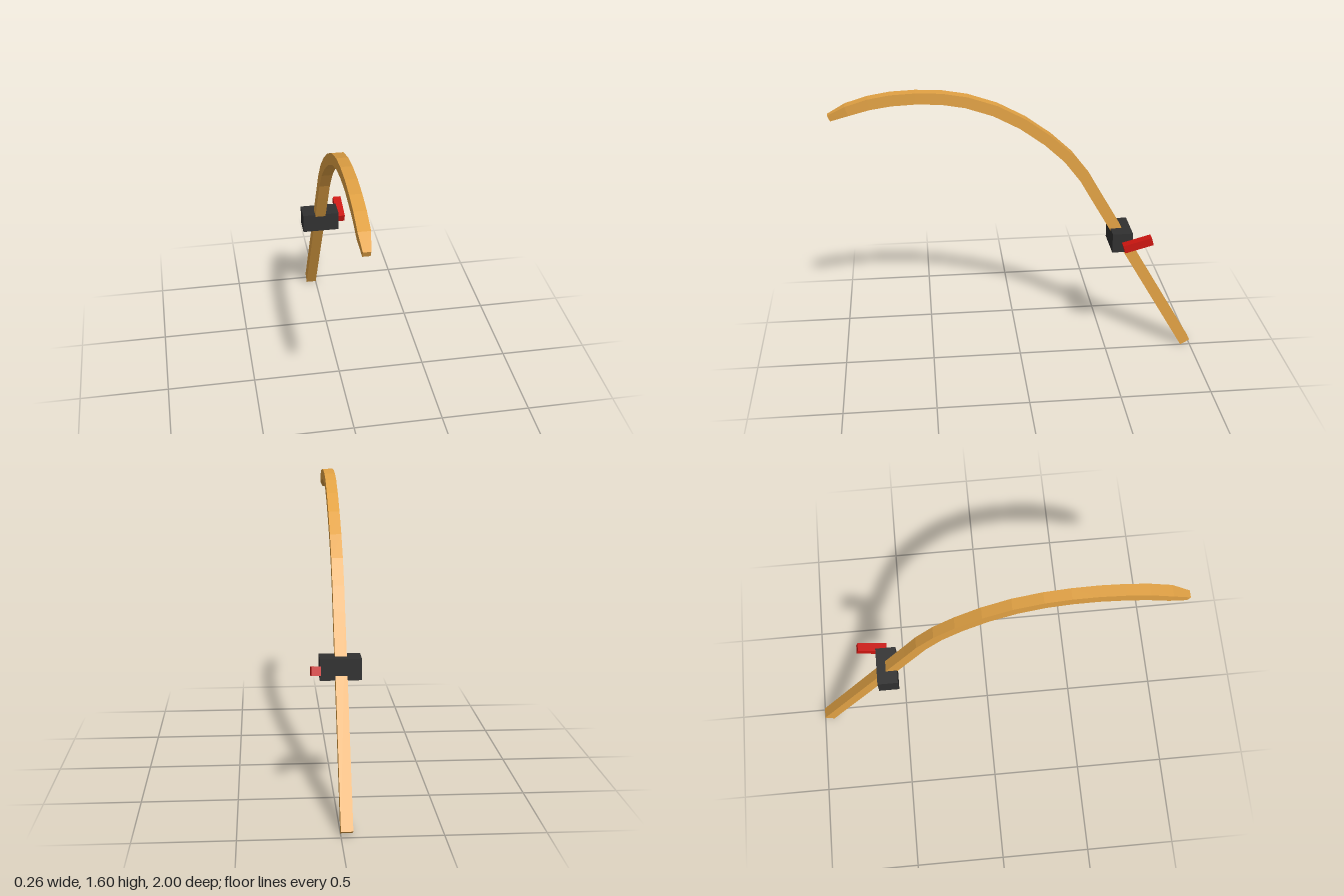
import * as THREE from 'three';

// Shaft centre line: z, y, x, width, thickness
const PATH = [
  [-0.972, 0.016, -0.029, 0.06, 0.06],
  [-0.42, 0.97, -0.028, 0.06, 0.06],
  [-0.353, 1.088, -0.028, 0.06, 0.06],
  [-0.26, 1.21, -0.028, 0.06, 0.06],
  [-0.15, 1.313, -0.028, 0.06, 0.06],
  [-0.015, 1.412, -0.028, 0.06, 0.06],
  [0.13, 1.49, -0.029, 0.06, 0.06],
  [0.28, 1.541, -0.031, 0.06, 0.06],
  [0.41, 1.564, -0.033, 0.06, 0.06],
  [0.544, 1.57, -0.034, 0.061, 0.06],
  [0.67, 1.564, -0.036, 0.062, 0.06],
  [0.785, 1.546, -0.037, 0.062, 0.058],
  [0.9, 1.513, -0.039, 0.062, 0.053],
  [0.994, 1.472, -0.043, 0.038, 0.034],
];

// Sweep a rectangular section along the path, with flat facets
function sweepBar(path) {
  const pos = [], idx = [], last = path.length - 1;
  path.forEach(([z, y, x, w, h], i) => {
    const a = path[Math.max(i - 1, 0)], b = path[Math.min(i + 1, last)];
    const t = new THREE.Vector2(b[0] - a[0], b[1] - a[1]).normalize();
    for (const [sx, sn] of [[-1, -1], [1, -1], [1, 1], [-1, 1]]) {
      pos.push(x + sx * w / 2, y + sn * t.x * h / 2, z - sn * t.y * h / 2);
    }
  });
  for (let i = 0; i < last; i++) {
    for (let k = 0; k < 4; k++) {
      const a = i * 4 + k, b = i * 4 + (k + 1) % 4;
      idx.push(a, b, b + 4, a, b + 4, a + 4);
    }
  }
  const e = last * 4;
  idx.push(0, 2, 1, 0, 3, 2, e, e + 1, e + 2, e, e + 2, e + 3);
  const indexed = new THREE.BufferGeometry();
  indexed.setAttribute('position', new THREE.Float32BufferAttribute(pos, 3));
  indexed.setIndex(idx);
  const geo = indexed.toNonIndexed();
  geo.computeVertexNormals();
  return geo;
}

function addPart(group, name, geometry, color) {
  const mesh = new THREE.Mesh(geometry, new THREE.MeshStandardMaterial({ color, flatShading: true }));
  mesh.name = name;
  group.add(mesh);
  return mesh;
}

export function createModel() {
  const group = new THREE.Group();
  group.name = 'curvedShaftWithClamp';

  // Curved wooden shaft with tapered tip
  addPart(group, 'curvedShaft', sweepBar(PATH), 0xe2a244);

  // Clamp block around the straight part
  addPart(group, 'clampBlock', new THREE.BoxGeometry(0.21, 0.11, 0.112), 0x303030)
    .position.set(-0.025, 0.726, -0.558);

  // Tilted lever on the side of the block
  const lever = addPart(group, 'lever', new THREE.BoxGeometry(0.047, 0.045, 0.162), 0xcc1510);
  lever.position.set(0.103, 0.729, -0.638);
  lever.rotation.x = 0.27;

  return group;
}
